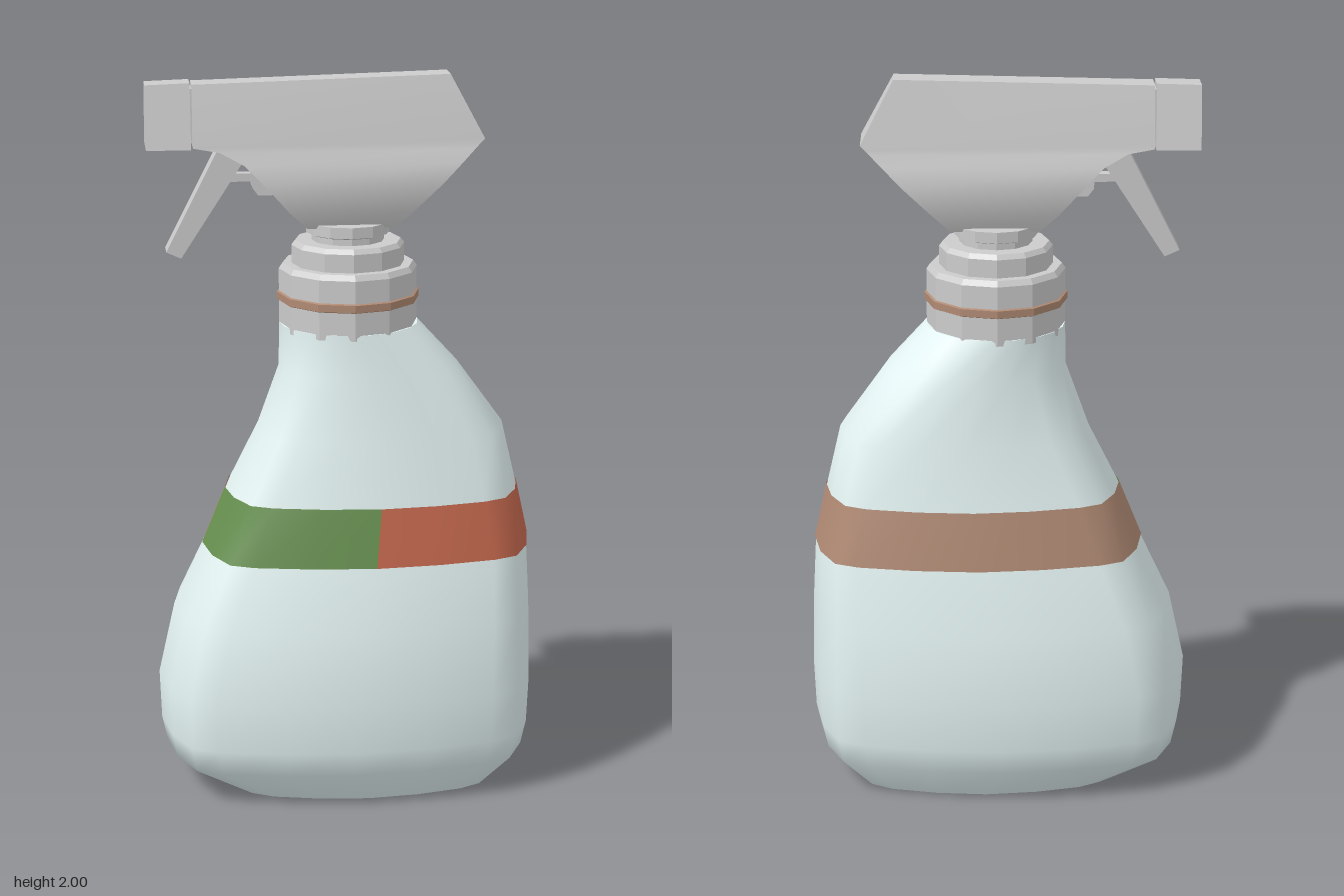
import * as THREE from 'three';
import { toCreasedNormals } from 'three/addons/utils/BufferGeometryUtils.js';

const paint = (color, side = THREE.FrontSide) => new THREE.MeshStandardMaterial({ color, side });
const grey = paint(0xcccccc);

// Skins a stack of rings (arrays of Vector3, bottom to top); closed rings may get flat caps.
function loft(rings, { closed = true, caps = true } = {}) {
  const n = rings[0].length, pos = [], index = [];
  rings.flat().forEach(p => pos.push(p.x, p.y, p.z));
  for (let i = 0; i < rings.length - 1; i++) {
    for (let j = 0; j < (closed ? n : n - 1); j++) {
      const a = i * n + j, b = i * n + (j + 1) % n;
      index.push(a, a + n, b, b, a + n, b + n);
    }
  }
  if (caps) {
    [rings[0], rings[rings.length - 1]].forEach((ring, top) => {
      const base = pos.length / 3;
      ring.forEach(p => pos.push(p.x, p.y, p.z));
      for (let j = 1; j < n - 1; j++) {
        index.push(base, base + (top ? j + 1 : j), base + (top ? j : j + 1));
      }
    });
  }
  const geo = new THREE.BufferGeometry();
  geo.setAttribute('position', new THREE.Float32BufferAttribute(pos, 3));
  geo.setIndex(index);
  geo.computeVertexNormals();
  return geo;
}

// One quarter of the bottle's cross-section, in unit half-widths
const QUARTER = [[1, 0], [0.955, 0.42], [0.86, 0.75], [0.72, 0.85], [0.38, 0.95]];

// Bottle ring: 20 points, round = 1 gives an ellipse; grow pushes it outward
function bottleRing([y, x0, x1, hz, round], grow = 0) {
  const cx = (x0 + x1) / 2, hx = (x1 - x0) / 2 + grow;
  return Array.from({ length: 20 }, (_, k) => {
    const q = Math.floor(k / 5), i = k % 5;
    // odd quarters walk the same outline backwards
    const [u, v] = q % 2 ? (i ? QUARTER[5 - i] : [0, 1]) : QUARTER[i];
    const sx = q === 0 || q === 3 ? 1 : -1, sz = q < 2 ? 1 : -1;
    const a = k * Math.PI / 10;
    const x = THREE.MathUtils.lerp(sx * u, Math.cos(a), round);
    const z = THREE.MathUtils.lerp(sz * v, Math.sin(a), round);
    return new THREE.Vector3(cx + hx * x, y, (hz + grow) * z);
  });
}

// Plate drawn in side outline and extruded about z = 0
function plate(points, depth) {
  const shape = new THREE.Shape(points.map(p => new THREE.Vector2(...p)));
  return new THREE.ExtrudeGeometry(shape, { depth, bevelEnabled: false }).translate(0, 0, -depth / 2);
}

export function createModel() {
  const model = new THREE.Group();
  model.name = 'sprayBottle';
  const add = (name, geo, mat = grey) => {
    const mesh = new THREE.Mesh(geo, mat);
    mesh.name = name;
    model.add(mesh);
    return mesh;
  };

  // Bottle: height, left x, right x, half depth, roundness
  const sections = [
    [0, -0.34, 0.42, 0.25, 0.2],
    [0.1, -0.51, 0.51, 0.32, 0],
    [0.17, -0.525, 0.525, 0.333, 0],
    [0.31, -0.53, 0.53, 0.345, 0],
    [0.51, -0.485, 0.525, 0.327, 0],
    [0.69, -0.4, 0.515, 0.28, 0],
    [0.85, -0.335, 0.48, 0.25, 0.1],
    [1.02, -0.25, 0.44, 0.222, 0.3],
    [1.2, -0.185, 0.31, 0.2, 0.7],
    [1.32, -0.183, 0.2, 0.188, 1],
  ];
  add('bottle', loft(sections.map(s => bottleRing(s))), paint(0xe4f3f3));

  // Label band in three colours, hugging the bottle
  const band = [sections[5], sections[6]].map(s => bottleRing(s, 0.003));
  [['bandFrontLeft', 0, 5, 0xc5694e], ['bandFrontRight', 5, 10, 0x668f4f], ['bandBack', 10, 20, 0xb08a74]]
    .forEach(([name, from, to, color]) => {
      const strip = band.map(r => [...r, r[0]].slice(from, to + 1));
      add(name, loft(strip, { closed: false, caps: false }), paint(color, THREE.DoubleSide));
    });

  // Twelve-sided screw collar with stepped top and neck
  const lathe = (points) => toCreasedNormals(
    new THREE.LatheGeometry(points.map(p => new THREE.Vector2(...p)), 12), 0.4).translate(0.007, 0, 0);
  add('collar', lathe([[0, 1.305], [0.19, 1.305], [0.19, 1.47], [0.18, 1.485], [0.155, 1.485],
    [0.155, 1.535], [0.145, 1.548], [0.1, 1.548], [0.1, 1.565], [0.115, 1.57], [0.115, 1.6], [0, 1.6]]));
  add('collarRing', lathe([[0.185, 1.38], [0.196, 1.385], [0.196, 1.405], [0.185, 1.41]]), paint(0xb08a74));

  // Spray head: height, left x, right x, half width
  const headRing = ([y, x0, x1, w, yLeft = y]) => [
    new THREE.Vector3(x1, y, -w), new THREE.Vector3(x1, y, w),
    new THREE.Vector3(x0, yLeft, w), new THREE.Vector3(x0, yLeft, -w),
  ];
  const head = [
    [1.59, -0.11, 0.13, 0.065],
    [1.64, -0.16, 0.18, 0.088],
    [1.715, -0.225, 0.255, 0.104],
    [1.77, -0.28, 0.31, 0.092],
    [1.805, -0.345, 0.345, 0.08],
    [1.817, -0.415, 0.357, 0.077],
    [1.83, -0.415, 0.37, 0.075],
    [2.0, -0.415, 0.28, 0.04, 1.982],
  ];
  add('sprayHead', toCreasedNormals(loft(head.map(headRing)), 0.5));

  // Nozzle block at the tip
  const nozzle = [[1.812, -0.54, -0.42, 0.07], [1.988, -0.42, -0.54, 0.037]];
  nozzle[1] = [1.986, -0.54, -0.42, 0.037, 1.982];
  add('nozzle', toCreasedNormals(loft(nozzle.map(headRing)), 0.3));
  add('nozzleStem', new THREE.BoxGeometry(0.03, 0.14, 0.07).translate(-0.418, 1.9, 0));

  // Trigger lever, pump barrel and plunger
  add('trigger', plate([[-0.34, 1.82], [-0.27, 1.79], [-0.29, 1.755], [-0.45, 1.51], [-0.49, 1.528]], 0.07));
  add('pumpBarrel', plate([[-0.265, 1.79], [-0.255, 1.7], [-0.24, 1.68], [-0.17, 1.68], [-0.15, 1.79]], 0.08));
  add('plunger', new THREE.BoxGeometry(0.08, 0.022, 0.03).translate(-0.28, 1.725, 0));

  return model;
}
